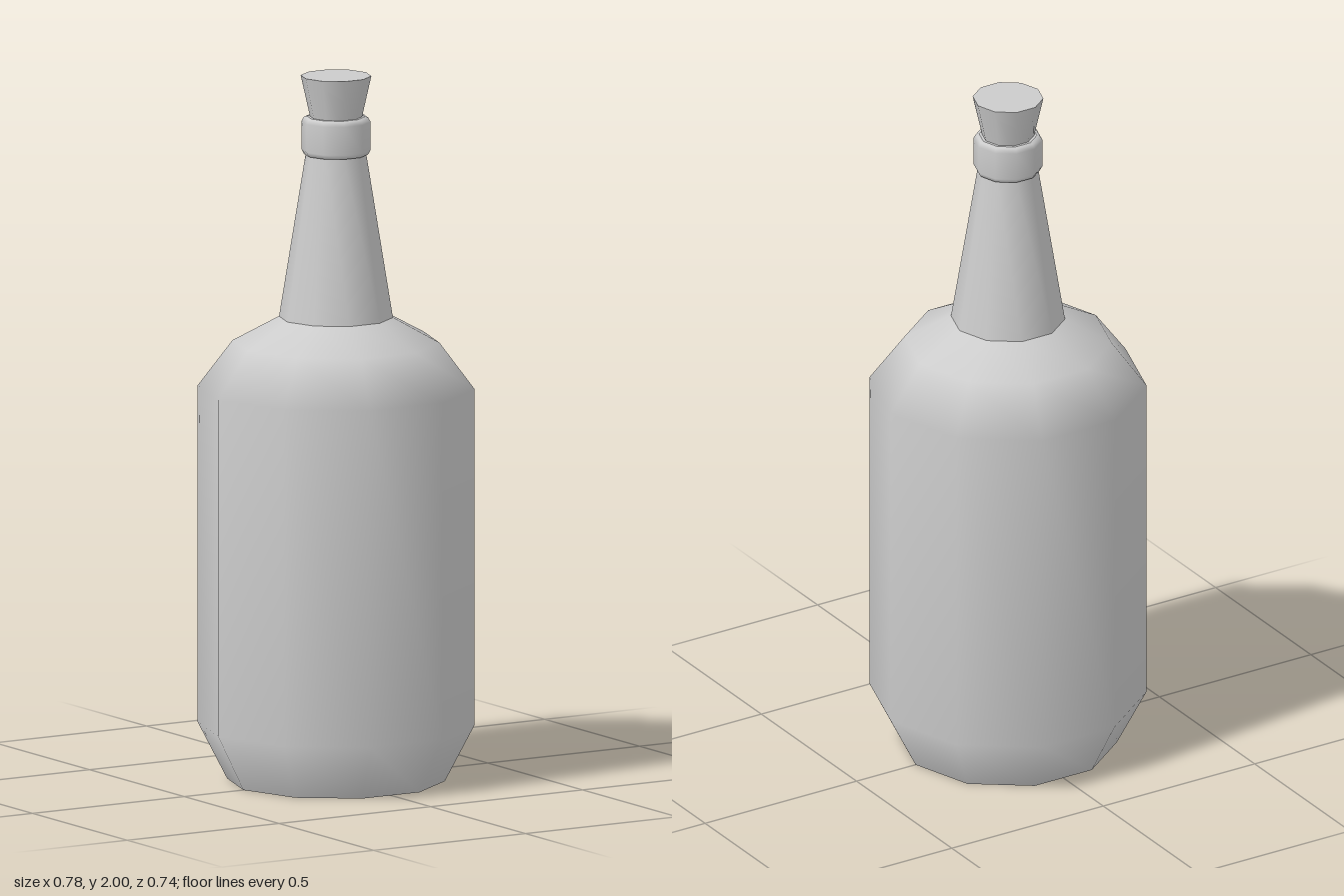
import * as THREE from 'three';

const SIDES = 10;
const material = new THREE.MeshStandardMaterial({ color: 0xcccccc });

// Ten-sided turned part with a corner on +x; profile runs from bottom to top as [radius, y]
function turned(name, profile) {
  const points = profile.map(([r, y]) => new THREE.Vector2(r, y));
  const mesh = new THREE.Mesh(new THREE.LatheGeometry(points, SIDES, Math.PI / 2), material);
  mesh.name = name;
  return mesh;
}

export function createModel() {
  const bottle = new THREE.Group();
  bottle.name = 'bottle';

  // Hollow underside, body with chamfered foot and rounded shoulder
  bottle.add(turned('basePunt', [[0, 0.17], [0.19, 0.12], [0.305, 0]]));
  bottle.add(turned('body', [[0.305, 0], [0.388, 0.16], [0.388, 1.115], [0.29, 1.245], [0.16, 1.315]]));

  // Tapered neck
  bottle.add(turned('neck', [[0.16, 1.312], [0.083, 1.79]]));

  // Bevelled collar and its flat lip
  bottle.add(turned('collar', [
    [0.08, 1.775], [0.09, 1.777], [0.097, 1.79], [0.097, 1.87], [0.09, 1.882], [0.08, 1.884],
  ]));
  bottle.add(turned('lip', [[0.081, 1.884], [0.06, 1.884]]));

  // Cork, wider at the top
  bottle.add(turned('cork', [[0.07, 1.87], [0.099, 2]]));
  bottle.add(turned('corkTop', [[0.099, 2], [0, 2]]));

  return bottle;
}
